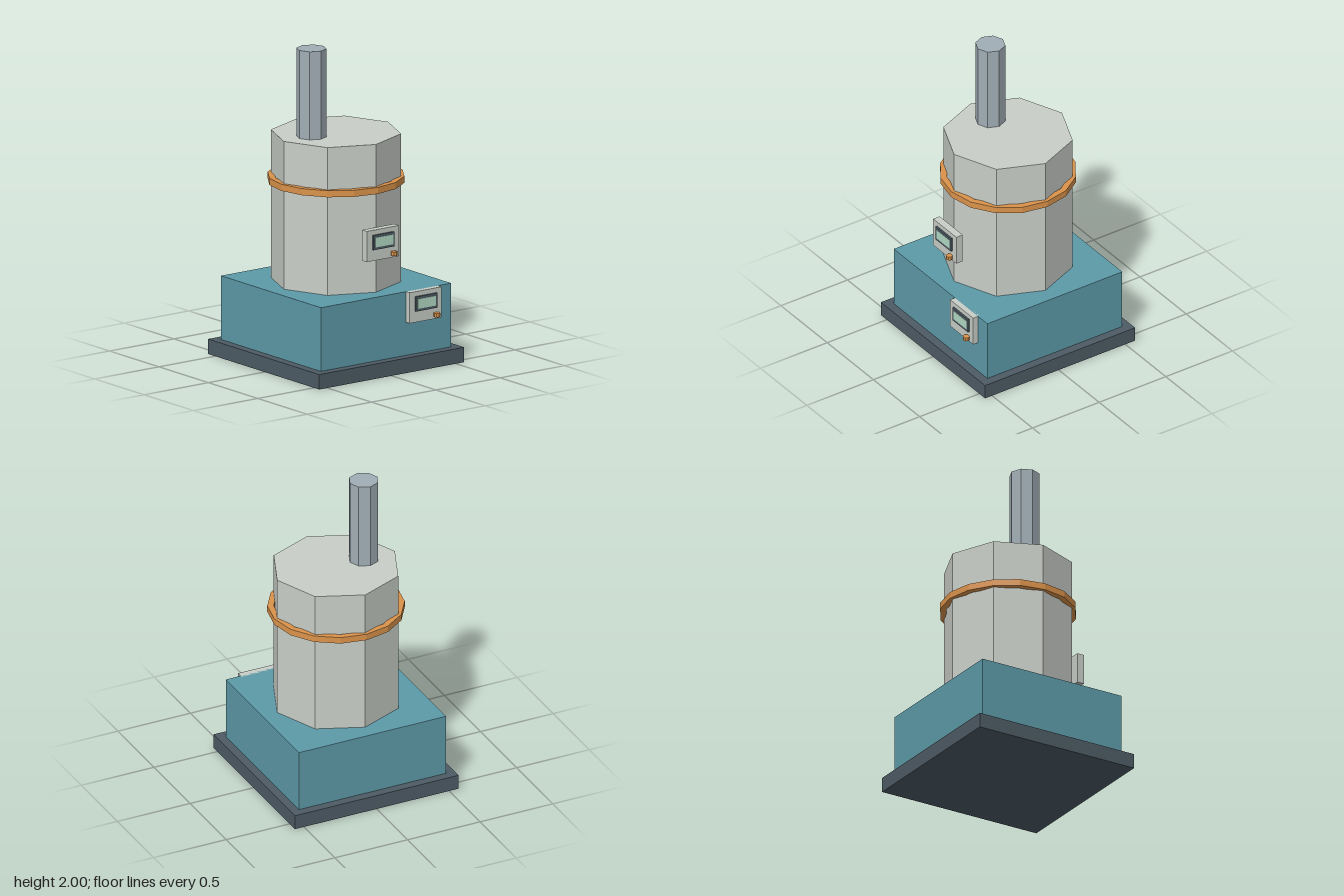
import * as THREE from 'three';

const mat = (color) => new THREE.MeshStandardMaterial({ color, flatShading: true });

export function createModel() {
  const model = new THREE.Group();
  const pale = mat(0xc9cec7), teal = mat(0x5d9aa8), dark = mat(0x4d5b65);
  const steel = mat(0xa1aeb6), orange = mat(0xdb934b), glass = mat(0xb2dac4);
  const Z = -0.01; // common axis of the main body

  const add = (parent, name, geometry, material, x, y, z) => {
    const mesh = new THREE.Mesh(geometry, material);
    mesh.name = name;
    mesh.position.set(x, y, z);
    parent.add(mesh);
    return mesh;
  };
  const box = (w, h, d) => new THREE.BoxGeometry(w, h, d);
  const prism = (r, h, sides) => new THREE.CylinderGeometry(r, r, h, sides);

  // Plinth and square housing
  add(model, 'plinth', box(1.126, 0.095, 1.126), dark, 0, 0.0475, Z);
  add(model, 'housing', box(1.012, 0.405, 1.012), teal, 0, 0.2975, Z);

  // Eight-sided drum and offset chimney
  add(model, 'drum', prism(0.405, 0.94, 8), pale, 0, 0.97, Z);
  add(model, 'chimney', prism(0.094, 0.56, 8), steel, -0.19, 1.72, Z);

  // Sixteen-sided band with a rectangular section
  const section = [[0.385, -0.021], [0.425, -0.021], [0.425, 0.021], [0.385, 0.021], [0.385, -0.021]]
    .map(([r, y]) => new THREE.Vector2(r, y));
  add(model, 'band', new THREE.LatheGeometry(section, 16), orange, 0, 1.15, Z);

  // Control panels: plate, bezel, screen and knob
  const addPanel = (name, x, y, z) => {
    const panel = new THREE.Group();
    panel.name = name;
    panel.position.set(x, y, z);
    add(panel, 'plate', box(0.25, 0.195, 0.048), pale, 0, 0, 0);
    add(panel, 'bezel', box(0.165, 0.094, 0.012), dark, 0, 0.02, 0.029);
    add(panel, 'screen', box(0.14, 0.062, 0.006), glass, 0, 0.02, 0.0345);
    add(panel, 'knob', prism(0.021, 0.024, 8), orange, 0.075, -0.069, 0.042);
    model.add(panel);
  };
  addPanel('drumPanel', 0, 0.8225, 0.441);
  addPanel('housingPanel', 0.28, 0.4025, 0.508);

  return model;
}
